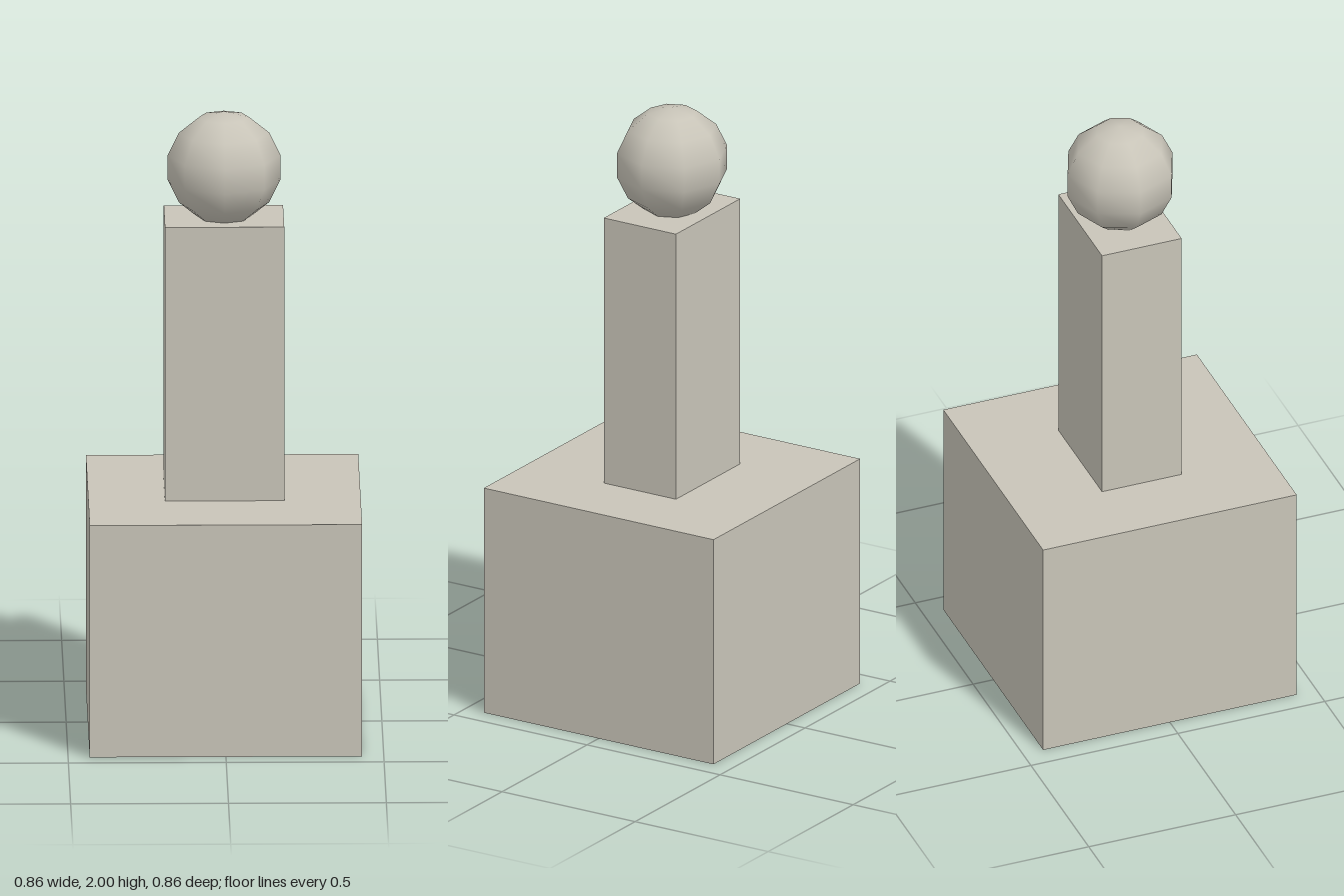
import * as THREE from 'three';

export function createModel() {
  const model = new THREE.Group();
  const stone = new THREE.MeshStandardMaterial({ color: 0xc8c4b8 });
  stone.name = 'warm grey stone';

  function add(name, geometry, y) {
    const mesh = new THREE.Mesh(geometry, stone);
    mesh.name = name;
    mesh.position.y = y;
    model.add(mesh);
  }

  const baseTop = 0.76, columnTop = 1.657, ballRadius = 0.183;

  // Square plinth
  add('base', new THREE.BoxGeometry(0.863, baseTop, 0.863), baseTop / 2);
  // Rectangular column, wider than deep
  add('column', new THREE.BoxGeometry(0.378, columnTop - baseTop, 0.271), (baseTop + columnTop) / 2);
  // Smooth-shaded low-poly ball, slightly sunk into the column
  add('ball', new THREE.SphereGeometry(ballRadius, 8, 7), 2 - ballRadius);

  return model;
}
